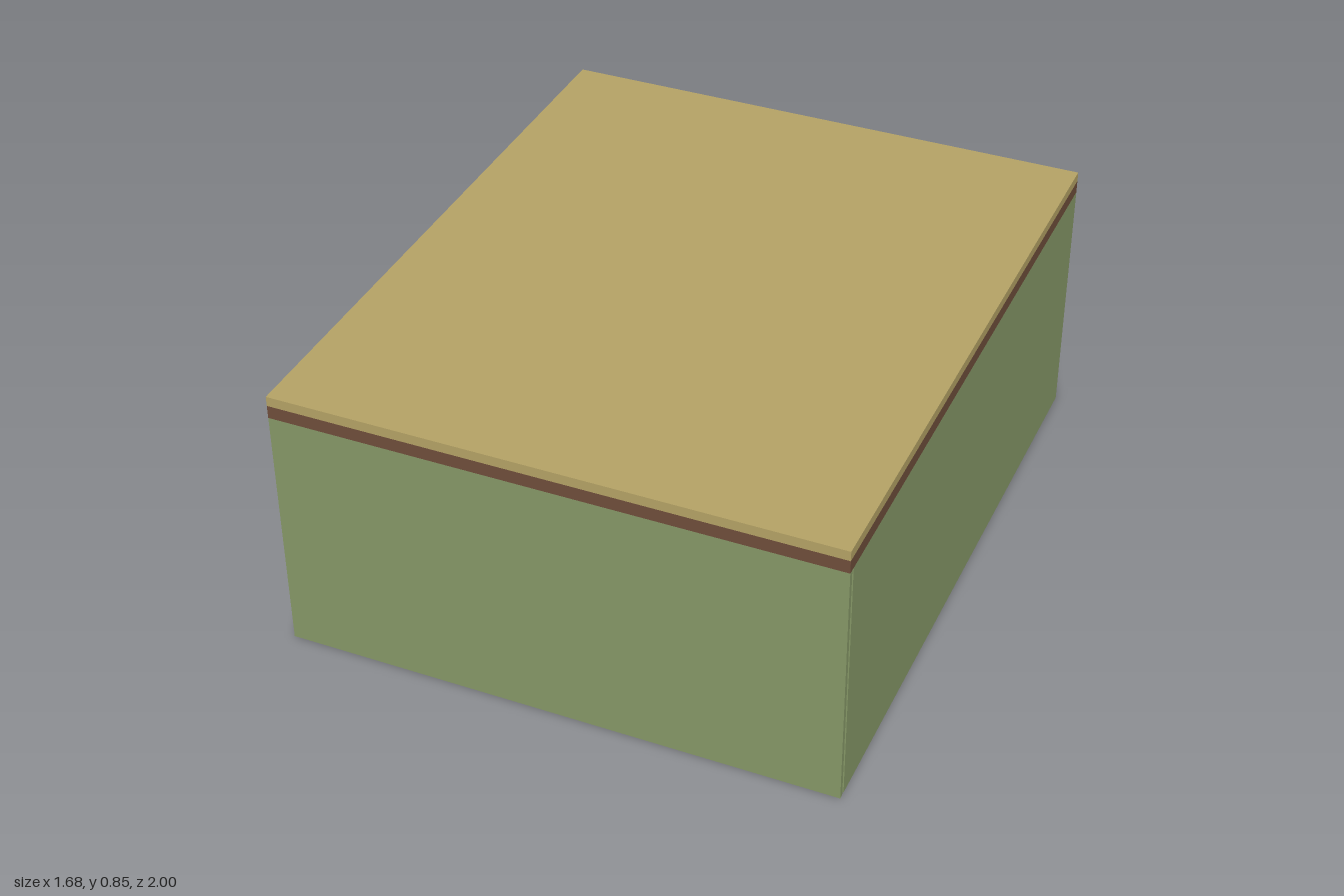
import * as THREE from 'three';

export function createModel() {
  const group = new THREE.Group();
  const green = new THREE.MeshStandardMaterial({ color: 0x869867 });
  const tan = new THREE.MeshStandardMaterial({ color: 0xb4a265 });
  const brown = new THREE.MeshStandardMaterial({ color: 0x6f4e3b });
  green.name = 'sage green';
  tan.name = 'tan wood';
  brown.name = 'dark brown';

  // Box spanning from one corner to the opposite corner
  const slab = (name, mat, [x0, y0, z0], [x1, y1, z1]) => {
    const mesh = new THREE.Mesh(new THREE.BoxGeometry(x1 - x0, y1 - y0, z1 - z0), mat);
    mesh.position.set((x0 + x1) / 2, (y0 + y1) / 2, (z0 + z1) / 2);
    mesh.name = name;
    group.add(mesh);
  };

  const W = 0.84, D = 1, wall = 0.04, bodyTop = 0.78, trimTop = 0.82, top = 0.85;
  const frontBack = 0.975, frontFace = 0.985;

  // Cabinet walls
  slab('leftWall', green, [W - wall, 0, -D], [W, bodyTop, frontBack]);
  slab('rightWall', green, [-W, 0, -D], [-W + wall, bodyTop, frontBack]);
  slab('backWall', green, [-W + wall, 0, -D], [W - wall, bodyTop, -D + wall]);
  slab('innerFront', green, [-W + wall, 0, D - wall], [W - wall, bodyTop, frontFace]);

  // Front panel, set off from the sides by a narrow seam
  slab('frontPanel', green, [-W, 0, frontFace], [W, bodyTop, D]);

  // Floor board, just inside the lower rim
  slab('floor', tan, [-W + wall, 0.004, -D + wall], [W - wall, 0.03, D - wall]);

  // Trim band and top board
  slab('trimBand', brown, [-W, bodyTop, -D], [W, trimTop, D]);
  slab('topBoard', tan, [-W, trimTop, -D], [W, top, D]);

  group.name = 'cabinet';
  return group;
}
